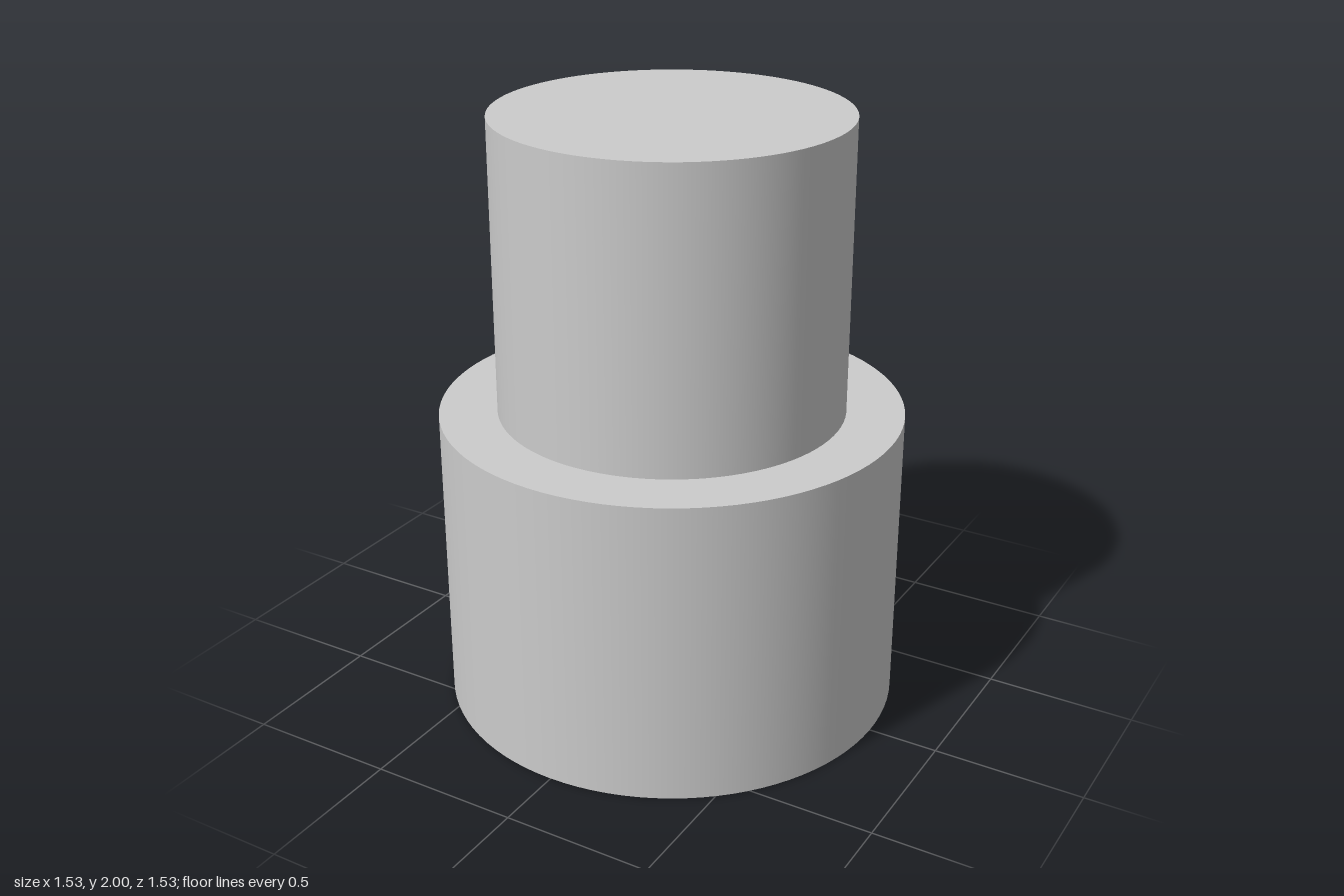
import * as THREE from 'three';

export function createModel() {
  const group = new THREE.Group();
  group.name = 'steppedCylinder';
  const material = new THREE.MeshStandardMaterial({ color: 0xcccccc });

  // Upright solid cylinder spanning y0 to y1
  const addCylinder = (name, radius, y0, y1) => {
    const mesh = new THREE.Mesh(
      new THREE.CylinderGeometry(radius, radius, y1 - y0, 96), material);
    mesh.position.y = (y0 + y1) / 2;
    mesh.name = name;
    group.add(mesh);
  };

  addCylinder('wideBase', 0.765, 0, 1.02);
  addCylinder('narrowTop', 0.574, 1.02, 2);

  return group;
}
